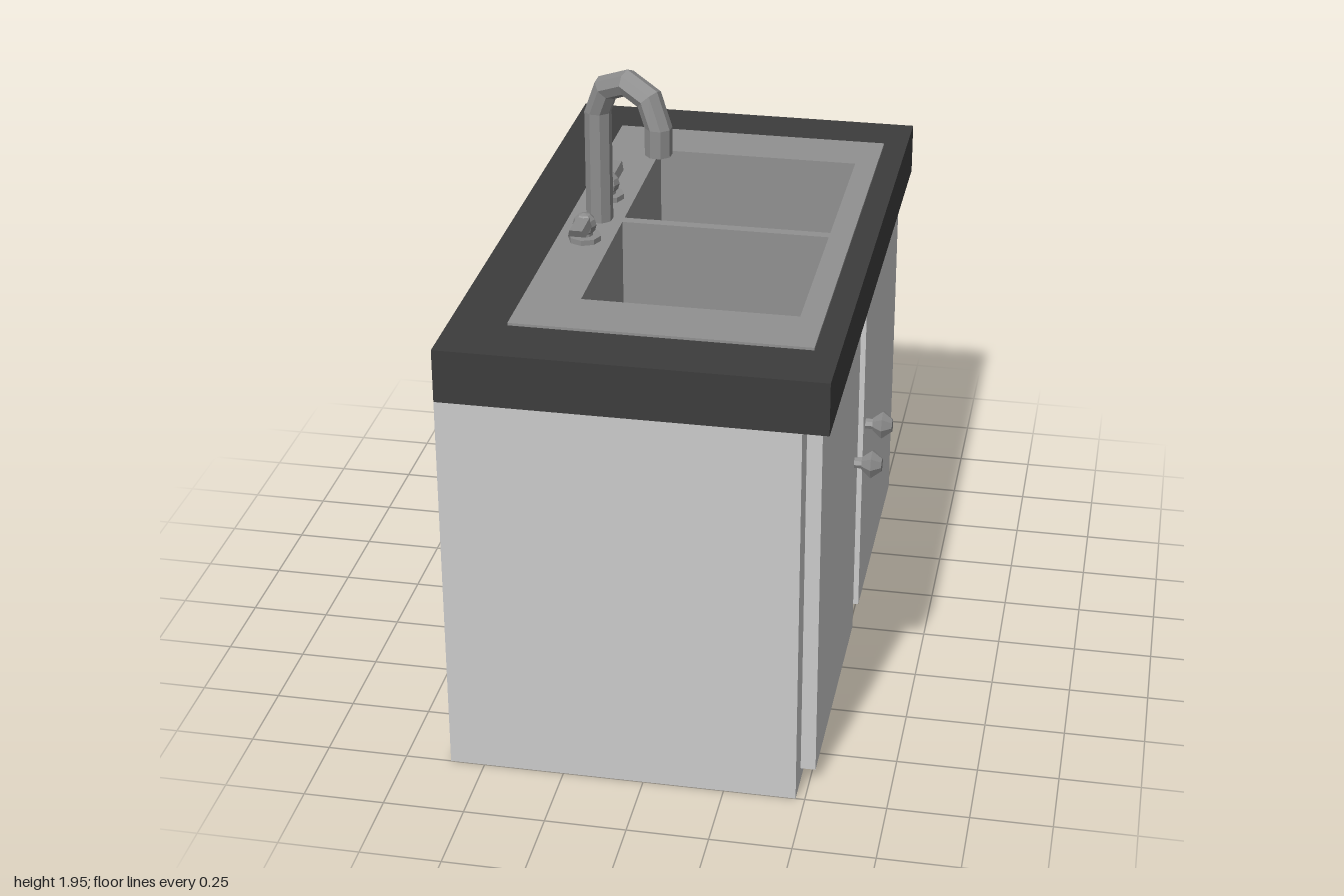
import * as THREE from 'three';

const paint = (color) => new THREE.MeshStandardMaterial({ color, flatShading: true });
const wood = paint(0xcccccc);
const stone = paint(0x3c3c3c);
const steel = paint(0x909090);
const chrome = paint(0x8c8c8c);

function add(parent, name, geometry, material, x = 0, y = 0, z = 0) {
  const mesh = new THREE.Mesh(geometry, material);
  mesh.name = name;
  mesh.position.set(x, y, z);
  parent.add(mesh);
  return mesh;
}

// Box given by its lower and upper corners
function block(parent, name, material, [x0, y0, z0], [x1, y1, z1]) {
  return add(parent, name, new THREE.BoxGeometry(x1 - x0, y1 - y0, z1 - z0), material,
    (x0 + x1) / 2, (y0 + y1) / 2, (z0 + z1) / 2);
}

// Rectangle in plan, counter-clockwise; the shape's y axis becomes -z
function outline(Type, x0, x1, z0, z1) {
  return new Type([[x0, -z1], [x1, -z1], [x1, -z0], [x0, -z0]].map(([x, y]) => new THREE.Vector2(x, y)));
}

// Flat slab with rectangular openings
function slab(rect, holes, y0, y1) {
  const shape = outline(THREE.Shape, ...rect);
  shape.holes = holes.map((hole) => outline(THREE.Path, ...hole));
  return new THREE.ExtrudeGeometry(shape, { depth: y1 - y0, bevelEnabled: false })
    .rotateX(-Math.PI / 2).translate(0, y0, 0);
}

// Upright pipe that bends over in straight-sided steps
class SpoutCurve extends THREE.Curve {
  constructor(radius, rise, drop) {
    super();
    this.points = [new THREE.Vector3(0, 0, 0)];
    this.tangents = [new THREE.Vector3(0, 1, 0)];
    for (let i = 0; i <= 4; i++) {
      const a = i * Math.PI / 4;
      this.points.push(new THREE.Vector3(radius * (1 - Math.cos(a)), rise + radius * Math.sin(a), 0));
      this.tangents.push(new THREE.Vector3(Math.sin(a), Math.cos(a), 0));
    }
    this.points.push(new THREE.Vector3(2 * radius, drop, 0));
    this.tangents.push(new THREE.Vector3(0, -1, 0));
  }
  getPointAt(u, target = new THREE.Vector3()) {
    return target.copy(this.points[Math.round(u * 6)]);
  }
  getTangentAt(u, target = new THREE.Vector3()) {
    return target.copy(this.tangents[Math.round(u * 6)]);
  }
}

function createFaucet() {
  const faucet = new THREE.Group();
  faucet.name = 'faucet';
  faucet.position.set(-0.333, 1.42, 0);
  faucet.rotation.y = -Math.atan2(0.105, 0.213);
  add(faucet, 'spout', new THREE.TubeGeometry(new SpoutCurve(0.119, 0.37, 0.281), 6, 0.043, 8), chrome);
  add(faucet, 'spoutEnd', new THREE.CircleGeometry(0.043, 8).rotateX(Math.PI / 2), chrome, 0.238, 0.281, 0);
  return faucet;
}

function createTap(side) {
  const tap = new THREE.Group();
  tap.name = side > 0 ? 'leftTap' : 'rightTap';
  tap.position.set(-0.343, 1.42, side * 0.17);
  tap.rotation.y = side > 0 ? 0 : Math.PI;
  add(tap, 'tapBase', new THREE.CylinderGeometry(0.052, 0.052, 0.022, 8), chrome, 0, 0.011, 0);
  add(tap, 'tapStem', new THREE.CylinderGeometry(0.026, 0.026, 0.03, 8), chrome, 0, 0.03, 0);
  add(tap, 'tapBall', new THREE.SphereGeometry(0.038, 8, 6), chrome, 0, 0.057, 0);
  // Thin lever with a narrowed top, its tip sloping back underneath
  const section = new THREE.Shape([[-0.028, 0.06], [0.028, 0.06], [0.02, 0.086], [-0.02, 0.086]]
    .map(([x, y]) => new THREE.Vector2(x, y)));
  const lever = new THREE.ExtrudeGeometry(section, { depth: 0.122, bevelEnabled: false });
  const corners = lever.attributes.position;
  for (let i = 0; i < corners.count; i++) {
    if (corners.getZ(i) > 0.1 && corners.getY(i) < 0.07) corners.setZ(i, 0.108);
  }
  add(tap, 'tapLever', lever, chrome);
  return tap;
}

function createDoor(side) {
  const door = new THREE.Group();
  door.name = side > 0 ? 'leftDoor' : 'rightDoor';
  const [z0, z1] = side > 0 ? [0.068, 0.904] : [-0.91, -0.075];
  block(door, 'doorPanel', wood, [0.472, 0.045, z0], [0.518, 1.2, z1]);
  const stem = new THREE.CylinderGeometry(0.018, 0.018, 0.045, 8).rotateZ(-Math.PI / 2);
  add(door, 'knobStem', stem, chrome, 0.5345, 0.702, side * 0.137);
  // Faceted knob: two flat-ended cones meeting at the widest ring
  const profile = [[0, -0.032], [0.022, -0.032], [0.048, 0], [0.022, 0.032], [0, 0.032]];
  const knob = new THREE.LatheGeometry(profile.map(([r, y]) => new THREE.Vector2(r, y)), 8);
  add(door, 'knob', knob.rotateZ(-Math.PI / 2), chrome, 0.574, 0.702, side * 0.137);
  return door;
}

export function createModel() {
  const model = new THREE.Group();
  model.name = 'sinkCabinet';
  const basins = [[-0.257, 0.402, -0.602, -0.02], [-0.257, 0.402, 0.015, 0.6]];
  const opening = [-0.29, 0.43, -0.64, 0.64];

  // Cabinet: floor and four walls
  block(model, 'cabinetFloor', wood, [-0.607, 0, -1], [0.472, 0.03, 1]);
  const walls = slab([-0.607, 0.472, -1, 1], [[-0.577, 0.442, -0.97, 0.97]], 0.03, 1.25);
  add(model, 'cabinetWalls', walls, wood);

  // Countertop and sink rim
  add(model, 'countertop', slab([-0.607, 0.55, -1, 1], [opening], 1.25, 1.417), stone);
  add(model, 'sinkRim', slab([-0.432, 0.474, -0.8, 0.8], basins, 1.41, 1.425), steel);

  // Basins: thin walls around each opening, closed by a floor
  for (const [x0, x1, z0, z1] of basins) {
    const t = 0.012;
    const outer = [x0 - t, x1 + t, z0 - t, z1 + t];
    add(model, 'basinWalls', slab(outer, [[x0, x1, z0, z1]], 0.98, 1.412), steel);
    add(model, 'basinFloor', slab(outer, [], 0.965, 0.98), steel);
  }

  // Fittings and doors
  model.add(createFaucet());
  for (const side of [1, -1]) model.add(createTap(side), createDoor(side));
  return model;
}
